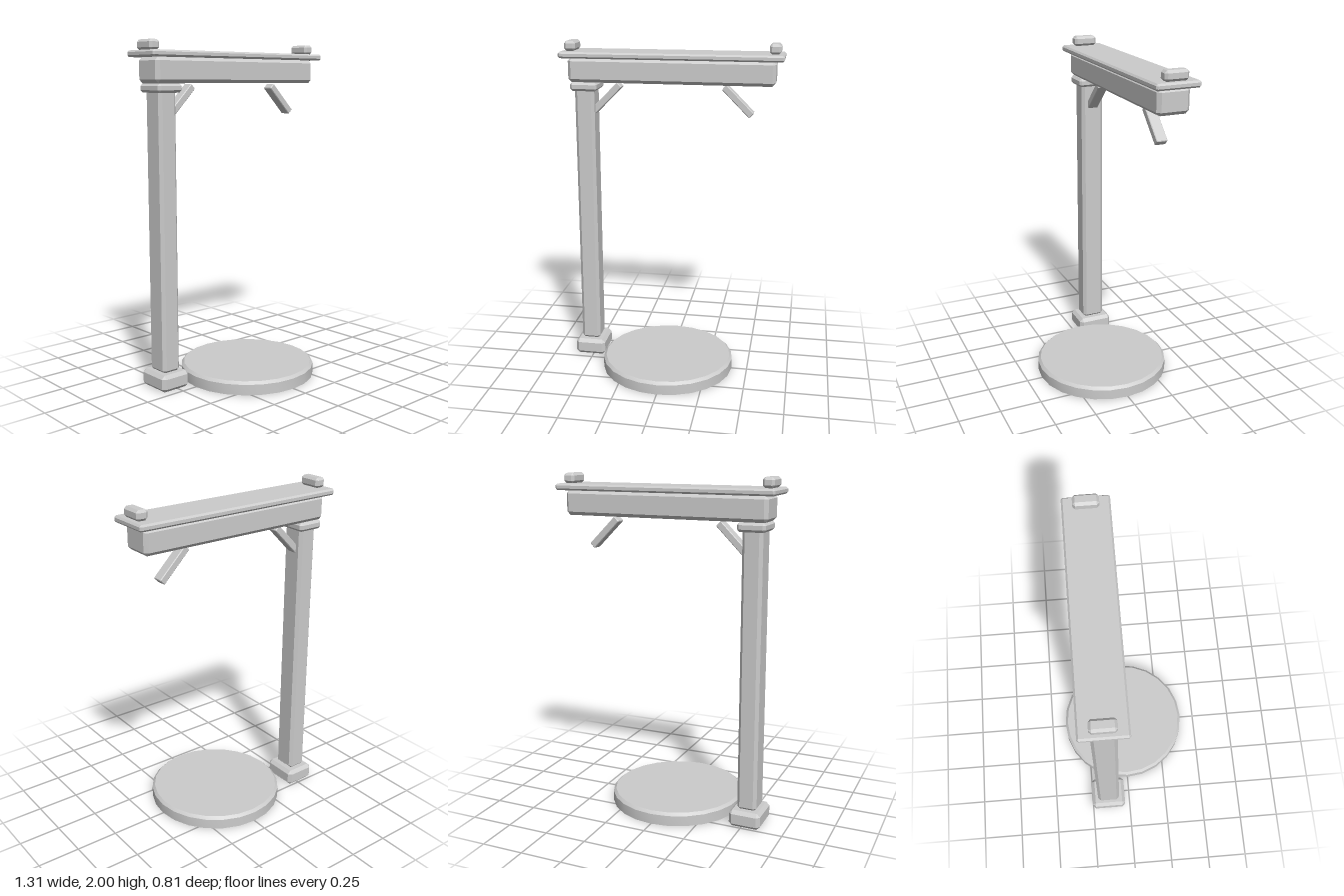
import * as THREE from 'three';
import { toCreasedNormals } from 'three/addons/utils/BufferGeometryUtils.js';
import { ConvexGeometry } from 'three/addons/geometries/ConvexGeometry.js';

const FRAME_Z = -0.142;

// Box with every edge chamfered: three inset corner points per corner
function chamferBox(w, h, d, c) {
  const points = [];
  for (const sx of [-1, 1]) for (const sy of [-1, 1]) for (const sz of [-1, 1]) {
    const x = w / 2, y = h / 2, z = d / 2;
    points.push(
      new THREE.Vector3(sx * x, sy * (y - c), sz * (z - c)),
      new THREE.Vector3(sx * (x - c), sy * y, sz * (z - c)),
      new THREE.Vector3(sx * (x - c), sy * (y - c), sz * z));
  }
  return new ConvexGeometry(points);
}

export function createModel() {
  const group = new THREE.Group();
  const stone = new THREE.MeshStandardMaterial({ color: 0xcccccc });
  stone.name = 'light grey';

  function add(name, geometry, x, y, z) {
    const mesh = new THREE.Mesh(geometry, stone);
    mesh.name = name;
    mesh.position.set(x, y, z);
    group.add(mesh);
    return mesh;
  }
  // Chamfered block placed between two heights
  const block = (name, x, y0, y1, w, d, c) =>
    add(name, chamferBox(w, y1 - y0, d, c), x, (y0 + y1) / 2, FRAME_Z);

  // Round plinth with a chamfered top edge
  const profile = [[0, 0], [0.405, 0], [0.405, 0.062], [0.389, 0.078], [0, 0.078]]
    .map(([r, y]) => new THREE.Vector2(r, y));
  add('plinth', toCreasedNormals(new THREE.LatheGeometry(profile, 24), 0.5), 0, 0, 0);

  // Post with foot and cap
  block('postFoot', -0.518, 0, 0.1, 0.19, 0.22, 0.02);
  block('post', -0.52, 0.096, 1.74, 0.118, 0.142, 0.018);
  block('postCap', -0.519, 1.71, 1.762, 0.162, 0.19, 0.014);

  // Crossbeam and the board above it
  block('beam', 0, 1.762, 1.906, 1.222, 0.19, 0.02);
  block('topBoard', 0, 1.905, 1.942, 1.314, 0.258, 0.01);

  // End blocks and diagonal braces, mirrored
  for (const side of [-1, 1]) {
    block('endBlock', side * 0.602, 1.942, 2, 0.067, 0.14, 0.014);
    const brace = add('brace', chamferBox(0.23, 0.04, 0.065, 0.004), side * 0.394, 1.664, FRAME_Z);
    brace.rotation.z = -side * Math.PI / 4;
  }
  return group;
}
